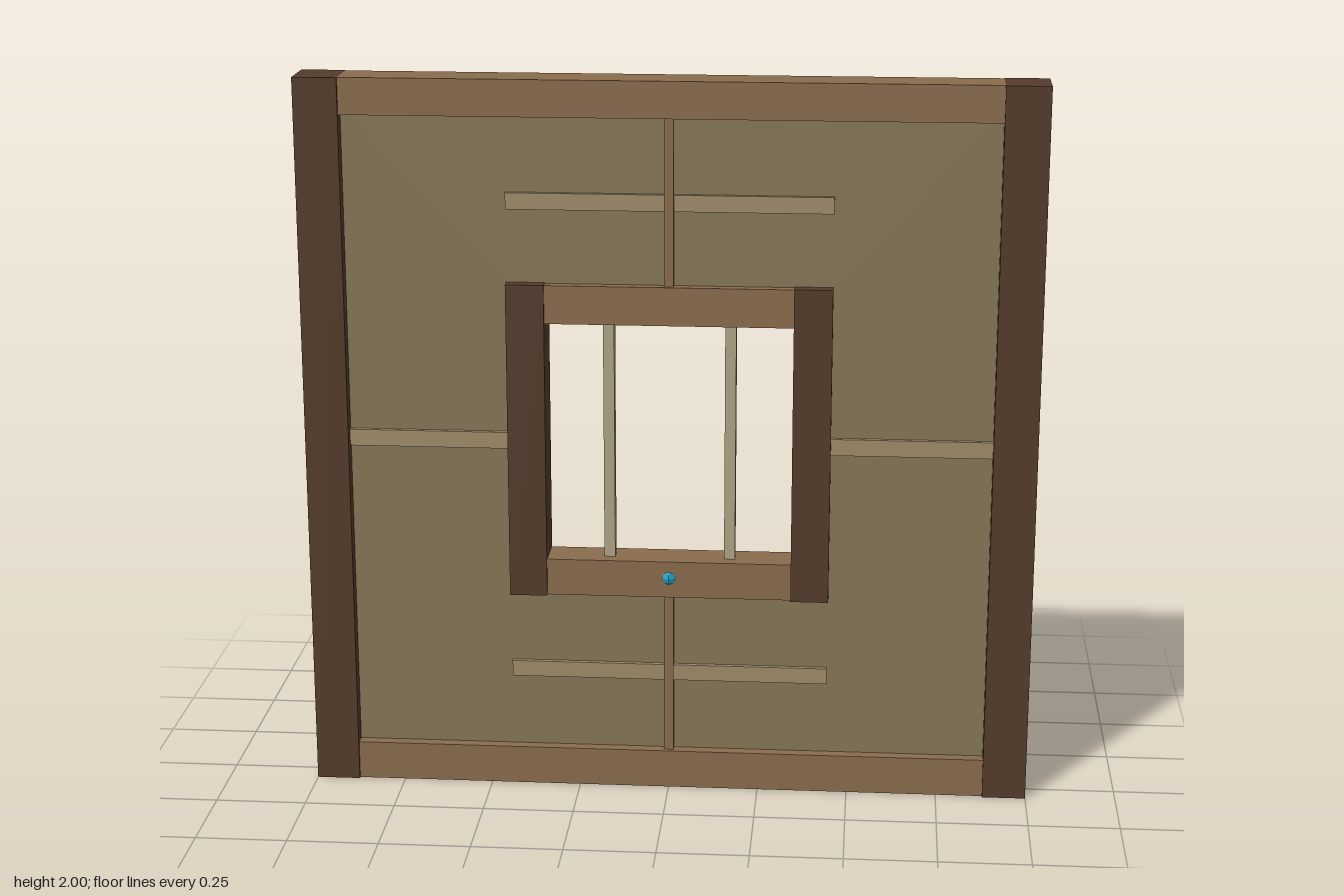
import * as THREE from 'three';

const material = (color) => new THREE.MeshStandardMaterial({ color, flatShading: true });

export function createModel() {
  const group = new THREE.Group();
  const dark = material(0x553c2c);
  const brown = material(0x8a6c4d);
  const plaster = material(0x857757);
  const pale = material(0x9f8c6a);
  const barWood = material(0xb0a285);
  const blue = material(0x1f9fc4);

  // Box given by its x, y and z ranges
  const box = (name, mat, [x0, x1], [y0, y1], [z0, z1]) => {
    const mesh = new THREE.Mesh(new THREE.BoxGeometry(x1 - x0, y1 - y0, z1 - z0), mat);
    mesh.position.set((x0 + x1) / 2, (y0 + y1) / 2, (z0 + z1) / 2);
    mesh.name = name;
    group.add(mesh);
  };
  const span = (h) => [-h, h];
  const side = (s, a, b) => (s > 0 ? [a, b] : [-b, -a]);

  // Wall panel with the window opening
  const wall = new THREE.Shape([[-0.9, 0.05], [0.9, 0.05], [0.9, 1.95], [-0.9, 1.95]]
    .map(([x, y]) => new THREE.Vector2(x, y)));
  wall.holes.push(new THREE.Path([[-0.38, 0.62], [-0.38, 1.39], [0.38, 1.39], [0.38, 0.62]]
    .map(([x, y]) => new THREE.Vector2(x, y))));
  const panelGeometry = new THREE.ExtrudeGeometry(wall, { depth: 0.054, bevelEnabled: false });
  panelGeometry.translate(0, 0, -0.027);
  const panel = new THREE.Mesh(panelGeometry, plaster);
  panel.name = 'wallPanel';
  group.add(panel);

  // Outer beams
  box('bottomBeam', brown, span(0.88), [0, 0.108], span(0.059));
  box('topBeam', brown, span(0.88), [1.9, 2], span(0.059));

  // Window beams
  box('windowSill', brown, span(0.337), [0.565, 0.668], span(0.055));
  box('windowLintel', brown, span(0.337), [1.338, 1.444], span(0.055));

  // Mirrored posts, window bars and side battens
  for (const s of [-1, 1]) {
    const label = s > 0 ? 'left' : 'right';
    box(label + 'Post', dark, side(s, 0.88, 1), [0, 2], span(0.067));
    box(label + 'WindowPost', dark, side(s, 0.337, 0.441), [0.563, 1.446], span(0.062));
    box(label + 'WindowBar', barWood, side(s, 0.151, 0.181), [0.66, 1.345], span(0.018));
    box(label + 'Batten', pale, side(s, 0.43, 0.89), [0.98, 1.026], span(0.04));
  }

  // Battens above and below the window
  box('upperBatten', pale, span(0.44), [1.648, 1.693], span(0.04));
  box('lowerBatten', pale, span(0.44), [0.315, 0.36], span(0.04));

  // Vertical strips on the front only
  box('upperStrip', brown, span(0.013), [1.43, 1.91], [0, 0.047]);
  box('lowerStrip', brown, span(0.013), [0.1, 0.58], [0, 0.047]);

  // Small stud on the sill
  const stud = new THREE.Mesh(new THREE.SphereGeometry(0.025, 8, 6), blue);
  stud.position.set(0, 0.62, 0.039);
  stud.name = 'sillStud';
  group.add(stud);

  return group;
}
